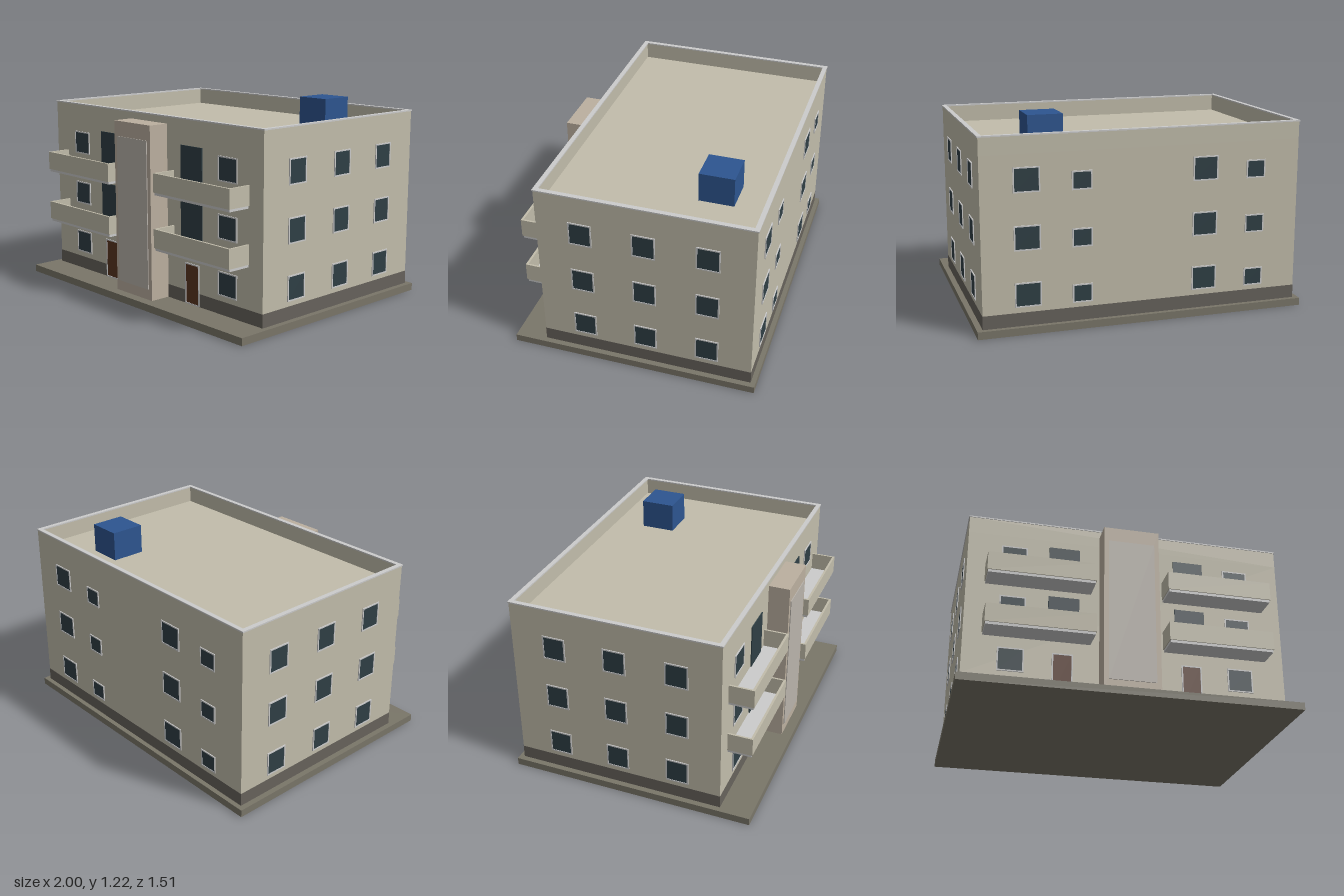
import * as THREE from 'three';

const mat = (color) => new THREE.MeshStandardMaterial({ color });

export function createModel() {
  const model = new THREE.Group();
  model.name = 'apartmentBuilding';
  const M = {
    wall: mat(0xc2bdab), trim: mat(0xcccccc), tower: mat(0xbcb0a0), plinth: mat(0x67635c),
    ground: mat(0x7a7669), glass: mat(0x2f3f45), door: mat(0x5a3520), tank: mat(0x2d5590),
  };

  // Box given by its minimum and maximum corners
  const box = (name, m, [x0, y0, z0], [x1, y1, z1], parent = model) => {
    const mesh = new THREE.Mesh(new THREE.BoxGeometry(x1 - x0, y1 - y0, z1 - z0), m);
    mesh.position.set((x0 + x1) / 2, (y0 + y1) / 2, (z0 + z1) / 2);
    mesh.name = name;
    parent.add(mesh);
    return mesh;
  };

  // Flat rectangular ring lying between two heights
  const ring = (name, m, [x0, z0, x1, z1], t, y0, y1) => {
    const rect = (C, a, b, c, d) => new C([[a, b], [c, b], [c, d], [a, d]].map((p) => new THREE.Vector2(...p)));
    const shape = rect(THREE.Shape, x0, -z1, x1, -z0);
    shape.holes.push(rect(THREE.Path, x0 + t, -z1 + t, x1 - t, -z0 - t));
    const geo = new THREE.ExtrudeGeometry(shape, { depth: y1 - y0, bevelEnabled: false });
    geo.rotateX(-Math.PI / 2);
    const mesh = new THREE.Mesh(geo, m);
    mesh.position.y = y0;
    mesh.name = name;
    model.add(mesh);
  };

  // Ground slab, plinth, body and roof
  const X = 0.965, ZB = -0.725, ZF = 0.563;
  box('groundSlab', M.ground, [-1, 0, -0.755], [1, 0.045, 0.755]);
  box('plinth', M.plinth, [-X - 0.001, 0.045, ZB - 0.001], [X + 0.001, 0.125, ZF + 0.001]);
  box('walls', M.wall, [-X, 0.125, ZB], [X, 1.04, ZF]);
  ring('parapet', M.wall, [-X, ZB, X, ZF], 0.02, 1.04, 1.142);
  ring('parapetCap', M.trim, [-X - 0.005, ZB - 0.004, X + 0.005, ZF + 0.004], 0.028, 1.142, 1.15);
  box('waterTank', M.tank, [0.43, 1.04, -0.51], [0.64, 1.22, -0.3]);

  // Framed panel on a wall, built facing +z and then turned to its side
  const opening = (name, m, w, h, frame, pos, turn) => {
    const g = new THREE.Group();
    g.name = name;
    const a = w / 2, b = h / 2, f = frame, d = 0.006;
    box('pane', m, [-a + f, -b + f, -0.004], [a - f, b - f, f ? 0.003 : d], g);
    if (f) {
      for (const s of [-1, 1]) {
        const cx = s * (a - f / 2), cy = s * (b - f / 2);
        box('frameSide', M.trim, [cx - f / 2, -b, -0.004], [cx + f / 2, b, d], g);
        box('frameRail', M.trim, [-a + f, cy - f / 2, -0.004], [a - f, cy + f / 2, d], g);
      }
    }
    g.position.set(...pos);
    g.rotation.y = turn;
    model.add(g);
  };

  // Windows on every floor
  for (const y of [0.23, 0.562, 0.895]) {
    for (const s of [-1, 1]) {
      opening('frontWindow', M.glass, 0.155, 0.145, 0.008, [s * 0.687, y, ZF], 0);
      for (const z of [-0.455, -0.08, 0.297]) {
        opening('sideWindow', M.glass, 0.14, 0.15, 0.008, [s * X, y, z], s * Math.PI / 2);
      }
    }
    for (const [x, w, h, dy] of [[0.7, 0.155, 0.145, 0], [0.38, 0.12, 0.11, -0.022],
      [-0.37, 0.155, 0.145, 0], [-0.69, 0.12, 0.11, -0.022]]) {
      opening('backWindow', M.glass, w, h, 0.008, [x, y + dy, ZB], Math.PI);
    }
  }

  // Entrance doors, balcony doors and balconies on both halves
  for (const s of [-1, 1]) {
    opening('entranceDoor', M.door, 0.122, 0.25, 0.008, [s * 0.387, 0.17, ZF], 0);
    for (const y of [0.37, 0.702]) {
      opening('balconyDoor', M.glass, 0.185, 0.27, 0, [s * 0.385, y + 0.155, ZF], 0);
      const g = new THREE.Group();
      g.name = 'balcony';
      box('balconyFloor', M.trim, [-0.315, 0, ZF], [0.315, 0.02, 0.708], g);
      box('balconyFront', M.wall, [-0.32, 0.016, 0.7], [0.32, 0.13, 0.714], g);
      for (const e of [-1, 1]) {
        box('balconySide', M.wall, [e * 0.314 - 0.006, 0.016, ZF], [e * 0.314 + 0.006, 0.13, 0.7], g);
      }
      g.position.set(s * 0.537, y, 0);
      model.add(g);
    }
  }

  // Stair tower with its shallow front panel
  box('stairTower', M.tower, [-0.17, 0.045, ZF], [0.167, 1.102, 0.693]);
  box('stairTowerPanel', M.trim, [-0.142, 0.11, 0.69], [0.138, 1.01, 0.698]).material = mat(0xbab4ac);
  return model;
}
